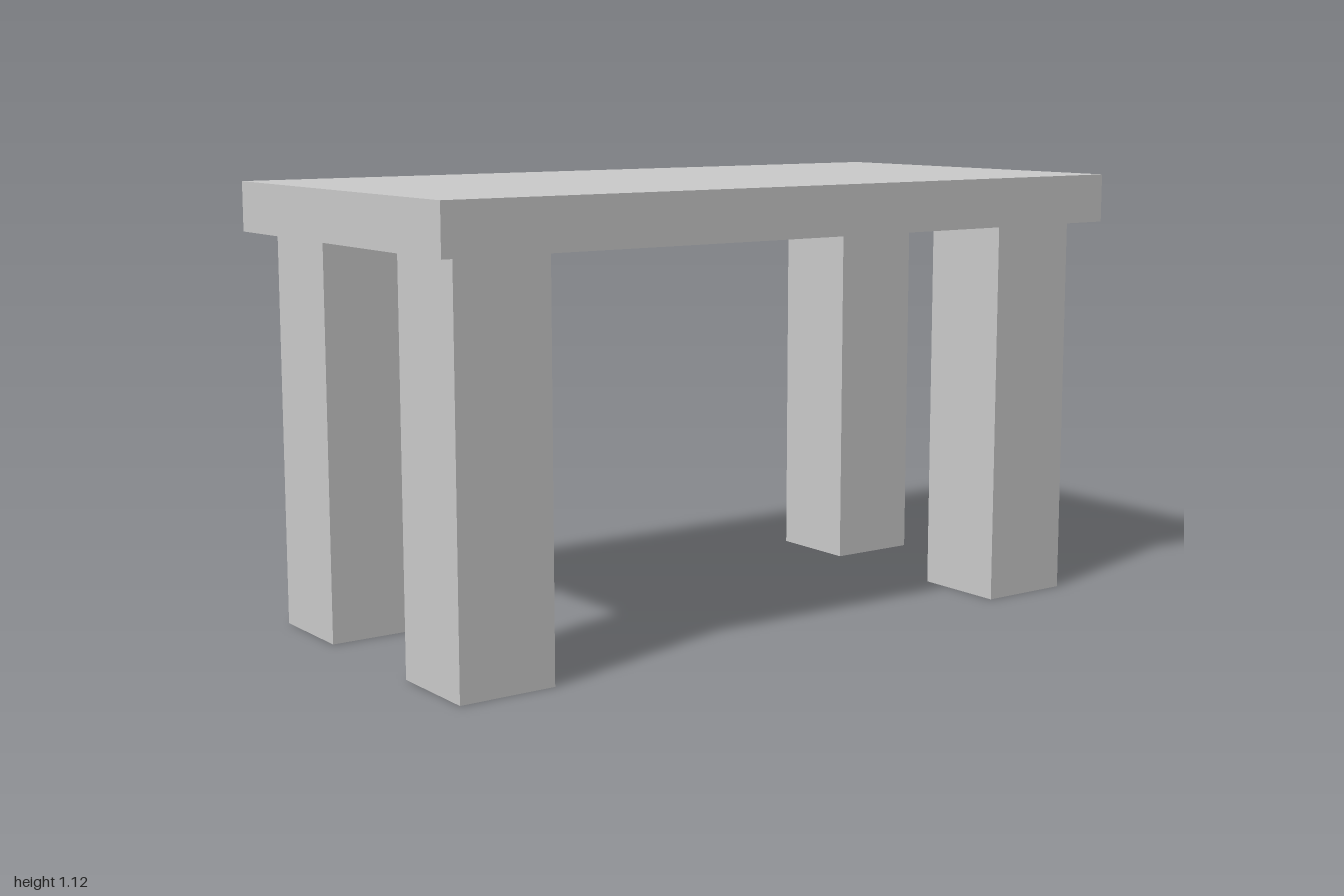
import * as THREE from 'three';

export function createModel() {
  const group = new THREE.Group();
  group.name = 'table';
  const material = new THREE.MeshStandardMaterial({ color: 0xcccccc });

  const topThickness = 0.125;
  const legHeight = 1;
  const legWidth = 0.25;

  // Table top
  const top = new THREE.Mesh(new THREE.BoxGeometry(2, topThickness, 1), material);
  top.name = 'tableTop';
  top.position.y = legHeight + topThickness / 2;
  group.add(top);

  // Four square legs, set in slightly from the edges
  const legGeometry = new THREE.BoxGeometry(legWidth, legHeight, legWidth);
  for (const [side, sx] of [['Left', 1], ['Right', -1]]) {
    for (const [end, sz] of [['front', 1], ['back', -1]]) {
      const leg = new THREE.Mesh(legGeometry, material);
      leg.name = `${end}${side}Leg`;
      leg.position.set(sx * 0.8125, legHeight / 2, sz * 0.3125);
      group.add(leg);
    }
  }

  return group;
}
